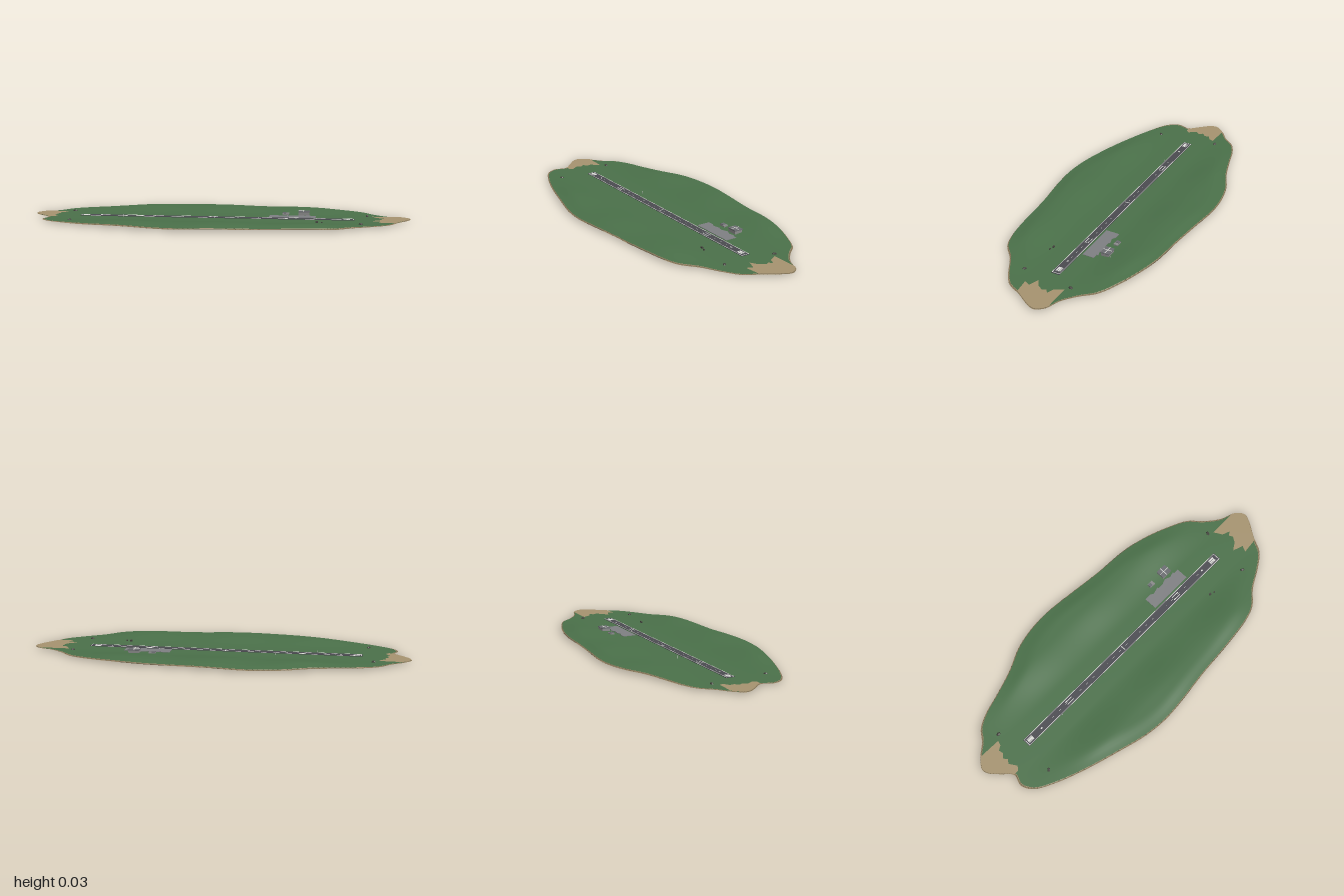
import * as THREE from 'three';

const mat = (name, color, side = THREE.FrontSide) => {
  const m = new THREE.MeshStandardMaterial({ color, side });
  m.name = name;
  return m;
};
const smooth = (a, b, v) => THREE.MathUtils.smoothstep(v, a, b);

// Coastline as x, z pairs: west tip, north shore, east tip, south shore
const COAST = [
  -1, -.065, -.96, -.12, -.90, -.17, -.853, -.227, -.783, -.265, -.666, -.30, -.53, -.345,
  -.41, -.40, -.29, -.428, -.158, -.435, 0, -.42, .19, -.40, .377, -.388, .51, -.36,
  .644, -.313, .75, -.26, .81, -.195, .885, -.136, .965, -.104, .996, -.06, .98, -.013,
  .928, .067, .885, .147, .805, .206, .70, .265, .617, .334, .537, .361, .377, .382,
  .163, .398, -.024, .42, -.158, .428, -.29, .414, -.45, .372, -.64, .313, -.80, .249,
  -.89, .195, -.922, .136, -.906, .072, -.95, .02, -.992, -.03,
];

// Land height: flat by the runway, low ridges along both long shores
function landHeight(x, z, f) {
  const ridge = smooth(.1, .3, Math.abs(z)) * (1 - smooth(.5, .95, Math.abs(x)));
  return .011 + .019 * ridge * (.87 + .13 * Math.cos(x * 14)) * (1 - .5 * smooth(.82, 1, f));
}

// Surface through closed rows of points
function loft(rows) {
  const n = rows[0].length, pos = [], idx = [];
  rows.forEach(r => r.forEach(p => pos.push(...p)));
  for (let j = 0; j < rows.length - 1; j++) {
    for (let i = 0; i < n; i++) {
      const k = (i + 1) % n;
      const a = j * n + i, b = j * n + k, c = a + n, d = b + n;
      idx.push(a, b, d, a, d, c);
    }
  }
  const g = new THREE.BufferGeometry();
  g.setAttribute('position', new THREE.Float32BufferAttribute(pos, 3));
  g.setIndex(idx);
  g.computeVertexNormals();
  return g;
}

export function createModel() {
  const island = new THREE.Group();
  island.name = 'islandAirfield';
  const grass = mat('grass', 0x4a7049, THREE.DoubleSide);
  const sand = mat('sand', 0xa5926f, THREE.DoubleSide);
  const asphalt = mat('asphalt', 0x4a4a50);
  const concrete = mat('concrete', 0x7e7f82);
  const paint = mat('paint', 0xdcdcd8);
  const wall = mat('wall', 0x8a8a8a);
  const roof = mat('roof', 0x6a6c70);
  const rock = mat('rock', 0x45443f);

  const add = (name, geo, material, x = 0, y = 0, z = 0, parent = island) => {
    const m = new THREE.Mesh(geo, material);
    m.name = name;
    m.position.set(x, y, z);
    parent.add(m);
    return m;
  };
  const box = (name, w, h, d, material, x, y, z) =>
    add(name, new THREE.BoxGeometry(w, h, d), material, x, y + h / 2, z);

  const pts = [];
  for (let i = 0; i < COAST.length; i += 2) pts.push(new THREE.Vector3(COAST[i], 0, COAST[i + 1]));
  const coast = new THREE.CatmullRomCurve3(pts, true).getPoints(200).slice(0, -1);

  // Grass sheet
  const EDGE = .988, ROWS = 28, rows = [];
  for (let j = 0; j <= ROWS; j++) {
    const f = EDGE * Math.max(j / ROWS, .001);
    rows.push(coast.map(p => [p.x * f, landHeight(p.x * f, p.z * f, f), p.z * f]));
  }
  add('grassLand', loft(rows), grass);

  // Sandy shore: narrow outer slope, then a band turned in underneath
  const rim = rows[ROWS];
  add('sandShore', loft([
    rim,
    coast.map((p, i) => [p.x, Math.max(rim[i][1] - .006, .0095), p.z]),
    coast.map(p => {
      const f = 1 - .08 / Math.hypot(p.x, p.z);
      return [p.x * f, .008, p.z * f];
    }),
  ]), sand);

  // Beaches at both tips with ragged inner edges
  function beach(name, inner, inside) {
    const shore = coast.filter(p => inside(p.x, p.z)).map(p => [p.x * .996, p.z * .996]);
    shore.sort((a, b) => a[1] - b[1]);
    const shape = new THREE.Shape([...shore, ...inner].map(([x, z]) => new THREE.Vector2(x, -z)));
    const g = new THREE.ShapeGeometry(shape);
    g.rotateX(-Math.PI / 2);
    add(name, g, sand, 0, .0135, 0);
  }
  beach('westBeach',
    [[-.905, .07], [-.875, .07], [-.86, .05], [-.885, .01], [-.87, -.01], [-.885, -.03],
      [-.865, -.05], [-.87, -.075], [-.845, -.09], [-.837, -.115]],
    (x, z) => x < -.88 && z > -.125 && z < .075);
  beach('eastBeach',
    [[.83, .092], [.845, .06], [.79, .04], [.83, .015], [.85, -.015], [.84, -.035],
      [.86, -.05], [.82, -.065], [.81, -.085], [.795, -.11]],
    (x, z) => x > .88 && z > -.112 && z < .095);

  // Runway with edge lines and markings
  const RZ = -.002;
  box('runway', 1.45, .003, .046, asphalt, -.02, .0105, RZ);
  const mark = (name, w, d, x, z) => box(name, w, .0006, d, paint, x, .0134, RZ + z);
  for (const s of [-1, 1]) {
    mark('runwayEdgeLine', 1.44, .003, -.02, s * .0205);
    mark('runwayEndLine', .003, .042, -.02 + s * .72, 0);
    mark('fixedDistanceBar', .045, .004, -.024 + s * .405, .008);
    mark('fixedDistanceBar', .045, .004, -.024 + s * .405, -.008);
    mark('runwayNumberBlock', .01, .008, -.024 + s * .61, 0);
    for (let i = -2; i <= 2; i++) mark('thresholdStripe', .035, .0042, -.025 + s * .69, i * .0052);
  }
  mark('midpointBar', .005, .026, -.027, 0);
  for (let i = 0; i < 24; i++) mark('centreDash', .014, .0012, -.6 + i * .05, 0);

  // Apron, ragged where the grass rises over it
  const apron = new THREE.Shape([[.255, .035], [.5, .035], [.5, .1], [.47, .1], [.47, .108], [.44, .1],
    [.41, .112], [.38, .1], [.35, .1], [.35, .108], [.31, .097], [.29, .108], [.255, .108]]
    .map(([x, y]) => new THREE.Vector2(x, y)));
  const apronGeo = new THREE.ExtrudeGeometry(apron, { depth: .0042, bevelEnabled: false });
  apronGeo.rotateX(-Math.PI / 2);
  add('apron', apronGeo, concrete, 0, .0093, 0);

  // Hangar and small terminal
  box('hangar', .056, .017, .044, wall, .435, .011, -.142);
  box('hangarRoof', .06, .005, .048, roof, .435, .028, -.142);
  box('hangarRoofStripe', .004, .0008, .048, paint, .432, .033, -.142);
  box('hangarRoofStripe', .06, .0008, .003, paint, .435, .033, -.142);
  box('terminal', .034, .009, .024, wall, .338, .011, -.143);
  box('terminalRoof', .018, .003, .02, roof, .33, .02, -.143);

  // Parked vehicles and thin masts
  box('vehicle', .012, .009, .008, rock, .515, .011, .123);
  box('vehicle', .008, .007, .006, rock, .54, .011, .13);
  for (const [x, z] of [[-.30, -.06], [-.51, .024], [.46, -.175]])
    add('mast', new THREE.CylinderGeometry(.001, .001, .013, 6), paint, x, .0175, z);

  // Shore rocks
  const ROCKS = [[-.81, -.14], [.77, -.128], [.74, .152], [-.765, .18],
    [.475, .297], [-.165, .363], [-.485, -.305], [.285, -.34]];
  ROCKS.forEach(([x, z], i) => {
    const r = i < 4 ? .011 : .009;
    const m = add('shoreRock', new THREE.IcosahedronGeometry(r, 0), rock, x, i < 4 ? .012 : .009, z);
    m.scale.set(1.15, .8, .8);
    m.rotation.y = i * 1.3;
  });
  return island;
}
